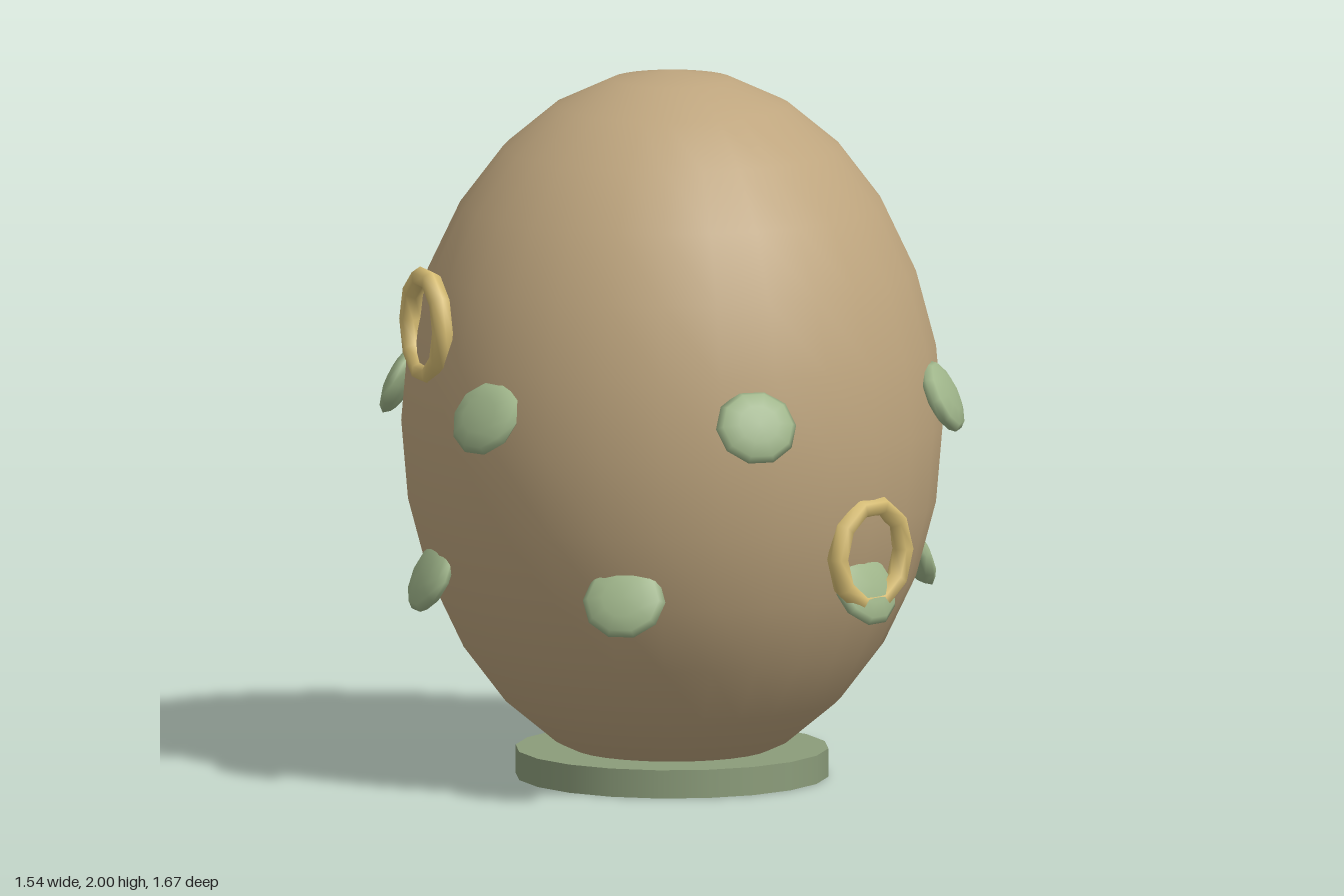
import * as THREE from 'three';

const mat = (name, color) => {
  const m = new THREE.MeshStandardMaterial({ color });
  m.name = name;
  return m;
};

export function createModel() {
  const tan = mat('tan shell', 0xbea57e);
  const green = mat('leaf green', 0x9fb58a);
  const darkGreen = mat('moss green', 0x8b9c7a);
  const gold = mat('gold', 0xd8be74);

  const model = new THREE.Group();
  model.name = 'decoratedEgg';

  const add = (name, geometry, material, parent = model) => {
    const mesh = new THREE.Mesh(geometry, material);
    mesh.name = name;
    parent.add(mesh);
    return mesh;
  };

  // Places a part around the egg with its local +z facing outward
  const placeAround = (mesh, degrees, radius, y, tilt = 0) => {
    const a = THREE.MathUtils.degToRad(degrees);
    mesh.rotation.order = 'YXZ';
    mesh.rotation.set(tilt, Math.PI / 2 - a, 0);
    mesh.position.set(Math.cos(a) * radius, y, Math.sin(a) * radius);
  };

  // Egg body
  const eggGeo = new THREE.SphereGeometry(1, 28, 14).scale(0.76, 0.998, 0.76);
  add('eggShell', eggGeo, tan).position.y = 1.002;

  // Low round stand
  const standGeo = new THREE.CylinderGeometry(0.44, 0.44, 0.08, 20);
  add('stand', standGeo, darkGreen).position.y = 0.04;

  // Two staggered rows of scales, each tipped so its lower edge lifts off
  const scaleGeo = new THREE.SphereGeometry(1, 10, 6)
    .rotateX(Math.PI / 2)
    .scale(0.118, 0.11, 0.036);
  const rows = [
    { name: 'lowerScale', y: 0.6, radius: 0.715, offset: 0 },
    { name: 'upperScale', y: 1.1, radius: 0.777, offset: 31.5 },
  ];
  for (const row of rows) {
    const group = new THREE.Group();
    group.name = row.name + 'Row';
    model.add(group);
    for (let i = 0; i < 6; i++) {
      const scale = add(row.name + (i + 1), scaleGeo, green, group);
      placeAround(scale, row.offset + i * 60, row.radius, row.y, -0.45);
    }
  }

  // Three upright rings resting on the shell
  const ringGeo = new THREE.TorusGeometry(0.14, 0.03, 6, 10);
  [[0, 0.735, 0.7], [120, 0.73, 1.31], [240, 0.768, 1.0]].forEach(([deg, r, y], i) => {
    placeAround(add('ring' + (i + 1), ringGeo, gold), deg, r, y);
  });

  return model;
}
